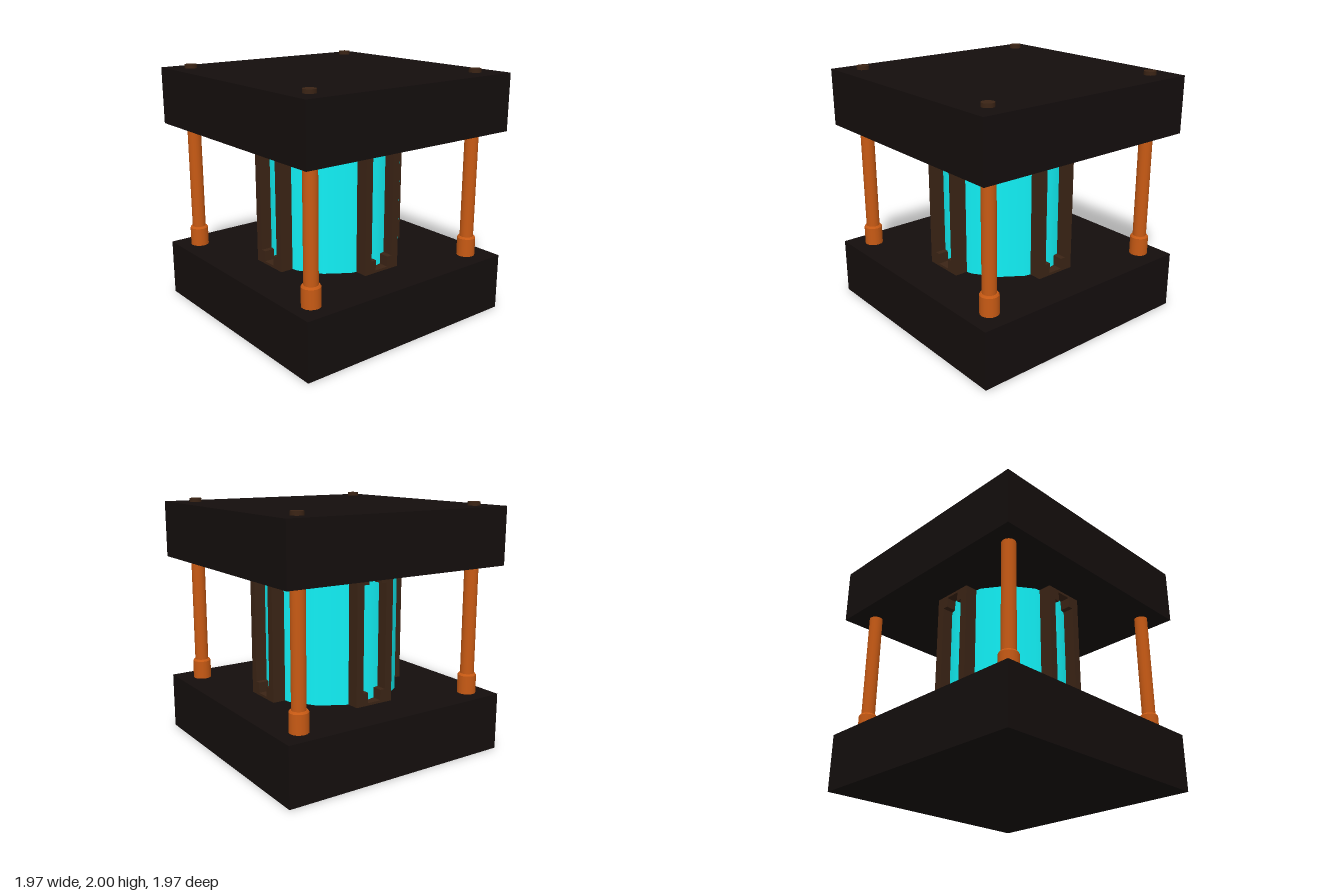
import * as THREE from 'three';

const mat = (color) => new THREE.MeshStandardMaterial({ color });

export function createModel() {
  const model = new THREE.Group();
  const stone = mat(0x140e0d), bronze = mat(0x3b2415), copper = mat(0xc85a14), glow = mat(0x11f0f5);

  const add = (name, geometry, material, x, y, z, parent = model) => {
    const mesh = new THREE.Mesh(geometry, material);
    mesh.name = name;
    mesh.position.set(x, y, z);
    parent.add(mesh);
    return mesh;
  };

  // Heavy square slabs
  const BASE = 0.465, ROOF = 1.51, H = ROOF - BASE, MID = (ROOF + BASE) / 2;
  add('baseSlab', new THREE.BoxGeometry(1.965, BASE, 1.965), stone, 0, BASE / 2, 0);
  add('topSlab', new THREE.BoxGeometry(1.965, 0.46, 1.965), stone, 0, ROOF + 0.23, 0);

  // Glowing core
  add('core', new THREE.CylinderGeometry(0.557, 0.557, H, 16), glow, 0, MID, 0);

  // Window frames on the four sides, with a stepped opening
  const frame = new THREE.Shape([
    [-0.167, BASE], [0.167, BASE], [0.167, ROOF], [-0.167, ROOF],
  ].map(([x, y]) => new THREE.Vector2(x, y)));
  frame.holes.push(new THREE.Path([
    [-0.06, 0.485], [-0.06, 0.57], [-0.104, 0.57], [-0.104, 1.41], [-0.06, 1.41], [-0.06, 1.49],
    [0.06, 1.49], [0.06, 1.41], [0.104, 1.41], [0.104, 0.57], [0.06, 0.57], [0.06, 0.485],
  ].map(([x, y]) => new THREE.Vector2(x, y))));
  const frameGeometry = new THREE.ExtrudeGeometry(frame, { depth: 0.13, bevelEnabled: false });
  frameGeometry.translate(0, 0, 0.5);
  for (let i = 0; i < 4; i++) {
    add('windowFrame', frameGeometry, bronze, 0, 0, 0).rotation.y = i * Math.PI / 2;
  }

  // Corner posts with chamfered collars and bolt heads
  const rod = new THREE.CylinderGeometry(0.055, 0.055, H, 16);
  const collar = new THREE.CylinderGeometry(0.074, 0.074, 0.15, 16);
  const chamfer = new THREE.CylinderGeometry(0.064, 0.074, 0.014, 16);
  const bolt = new THREE.CylinderGeometry(0.049, 0.049, 0.06, 16);
  for (const x of [-0.803, 0.792]) {
    for (const z of [-0.79, 0.81]) {
      const post = new THREE.Group();
      post.name = 'cornerPost';
      post.position.set(x, 0, z);
      add('rod', rod, copper, 0, MID, 0, post);
      add('collar', collar, copper, 0, BASE + 0.075, 0, post);
      add('collarChamfer', chamfer, copper, 0, BASE + 0.157, 0, post);
      add('boltHead', bolt, bronze, 0, 1.97, 0, post);
      model.add(post);
    }
  }
  return model;
}
